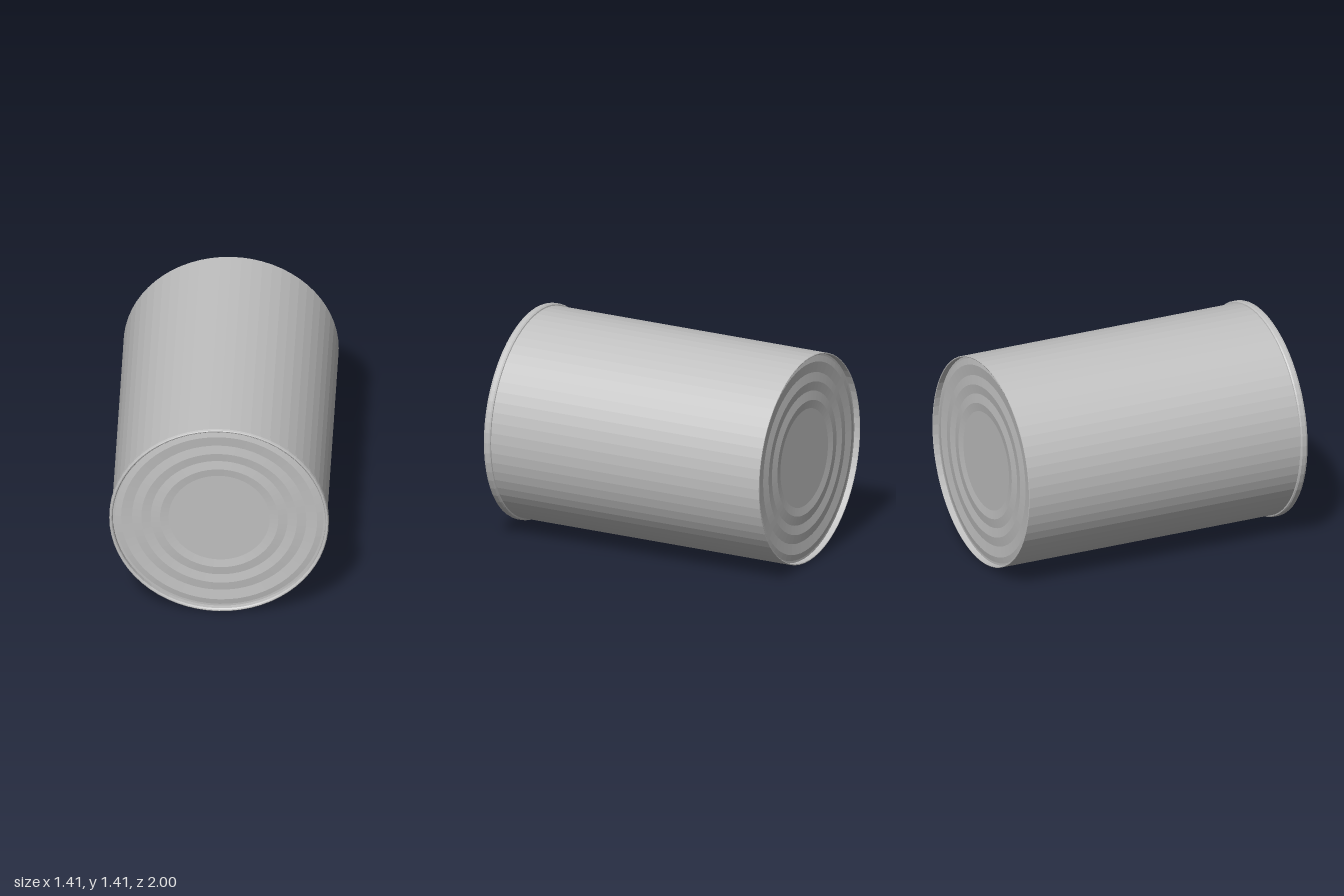
import * as THREE from 'three';

const SEGMENTS = 64;
const AXIS_HEIGHT = 0.706;

export function createModel() {
  const can = new THREE.Group();
  can.name = 'tinCan';
  const metal = new THREE.MeshStandardMaterial({ color: 0xc0c0c0, flatShading: true });
  metal.name = 'bare metal';

  // Revolves [radius, z] points about the can's lengthwise axis
  const revolve = (name, profile) => {
    const geometry = new THREE.LatheGeometry(
      profile.map(([r, z]) => new THREE.Vector2(r, z)), SEGMENTS);
    geometry.rotateX(Math.PI / 2);
    geometry.translate(0, AXIS_HEIGHT, 0);
    const mesh = new THREE.Mesh(geometry, metal);
    mesh.name = name;
    can.add(mesh);
  };

  // Lid with three shallow concentric ridges, from centre to edge
  const lidProfile = (z, out) => [
    [0, 0], [0.325, 0], [0.38, 0.008], [0.44, 0], [0.5, 0.008],
    [0.56, 0], [0.63, 0.008], [0.67, 0], [0.684, 0],
  ].map(([r, h]) => [r, z + out * h]);

  // Straight wall with a thin open lip at the back
  revolve('body', [
    [0.684, -0.96], [0.684, -0.998], [0.688, -1], [0.692, -0.998], [0.692, 0.952],
  ]);

  // Rolled bead around the front, folding in to the recessed lid
  revolve('frontRim', [
    [0.692, 0.95], [0.7, 0.952], [0.706, 0.96], [0.706, 0.985],
    [0.702, 0.997], [0.697, 1], [0.69, 0.998], [0.684, 0.99], [0.684, 0.96],
  ]);

  revolve('backLid', lidProfile(-0.96, -1));
  revolve('frontLid', lidProfile(0.96, 1).reverse());

  return can;
}
